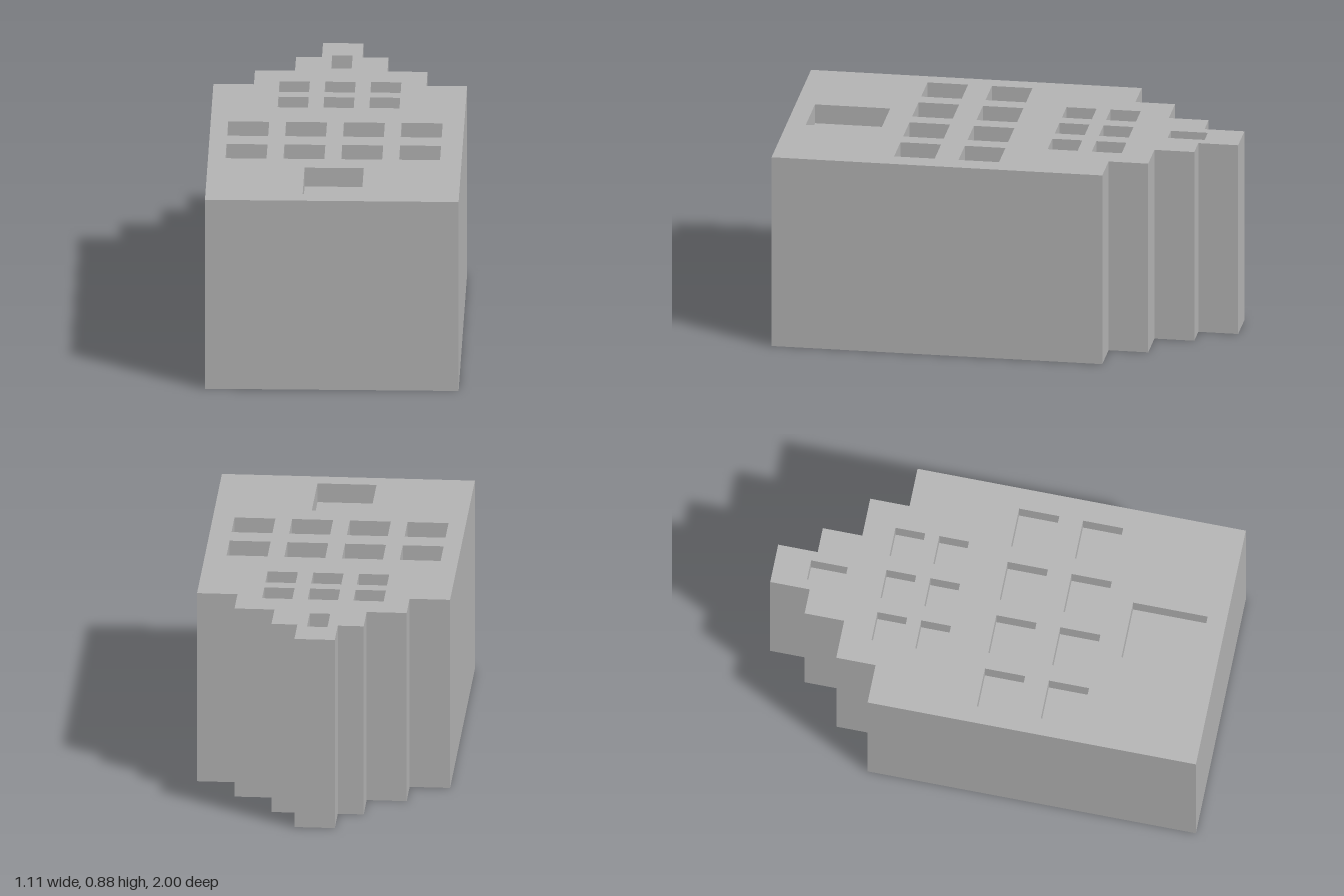
import * as THREE from 'three';

const HEIGHT = 0.884;  // thickness of the lying block
const RECESS = 0.088;  // depth of window and door pockets

// Flat polygon lying at height y; plan points are [x, -z]
function flat(points, y, holes = []) {
  const toVec = (p) => new THREE.Vector2(p[0], p[1]);
  const shape = new THREE.Shape(points.map(toVec));
  for (const h of holes) shape.holes.push(new THREE.Path(h.map(toVec)));
  return new THREE.ShapeGeometry(shape).rotateX(-Math.PI / 2).translate(0, y, 0);
}

// Upright walls along a closed loop: counter-clockwise faces outward, clockwise inward
function walls(loop, y0, y1) {
  const pos = [];
  loop.forEach(([ax, as], i) => {
    const [bx, bs] = loop[(i + 1) % loop.length];
    pos.push(ax, y0, -as, bx, y0, -bs, bx, y1, -bs);
    pos.push(ax, y0, -as, bx, y1, -bs, ax, y1, -as);
  });
  const geo = new THREE.BufferGeometry();
  geo.setAttribute('position', new THREE.Float32BufferAttribute(pos, 3));
  geo.computeVertexNormals();
  return geo;
}

// Counter-clockwise rectangle from its centre and size, in x and z
function rect(x, z, w, d) {
  const s = -z;
  return [
    [x - w / 2, s - d / 2], [x + w / 2, s - d / 2],
    [x + w / 2, s + d / 2], [x - w / 2, s + d / 2],
  ];
}

export function createModel() {
  const group = new THREE.Group();
  group.name = 'steppedGableHouse';
  const grey = new THREE.MeshStandardMaterial({ color: 0xb2b2b2 });
  grey.name = 'grey';

  const add = (parent, name, geo) => {
    const mesh = new THREE.Mesh(geo, grey);
    mesh.name = name;
    parent.add(mesh);
  };

  // Stepped gable outline: right half, then its mirror
  const right = [
    [0.557, -1], [0.557, 0.47], [0.379, 0.47], [0.379, 0.646],
    [0.203, 0.646], [0.203, 0.823], [0.089, 0.823], [0.089, 1],
  ];
  const outline = [...right, ...right.map(([x, s]) => [-x, s]).reverse()];

  // Openings in the facade
  const openings = [
    { name: 'door', loop: rect(0, 0.748, 0.26, 0.334) },
    { name: 'gableWindow', loop: rect(0, -0.762, 0.09, 0.164) },
  ];
  for (const z of [0.094, 0.38])
    for (let i = 0; i < 4; i++)
      openings.push({ name: 'mainWindow', loop: rect(-0.39 + i * 0.254, z, 0.18, 0.18) });
  for (const z of [-0.444, -0.248])
    for (let i = -1; i <= 1; i++)
      openings.push({ name: 'atticWindow', loop: rect(i * 0.201, z, 0.133, 0.133) });

  // House block
  add(group, 'outerWalls', walls(outline, 0, HEIGHT));
  add(group, 'facade', flat(outline, HEIGHT, openings.map((o) => o.loop)));
  add(group, 'backFace', flat(outline, 0).rotateZ(Math.PI));

  // Recessed pockets
  for (const { name, loop } of openings) {
    const pocket = new THREE.Group();
    pocket.name = name;
    add(pocket, name + 'Reveal', walls([...loop].reverse(), HEIGHT - RECESS, HEIGHT));
    add(pocket, name + 'Panel', flat(loop, HEIGHT - RECESS));
    group.add(pocket);
  }
  return group;
}
